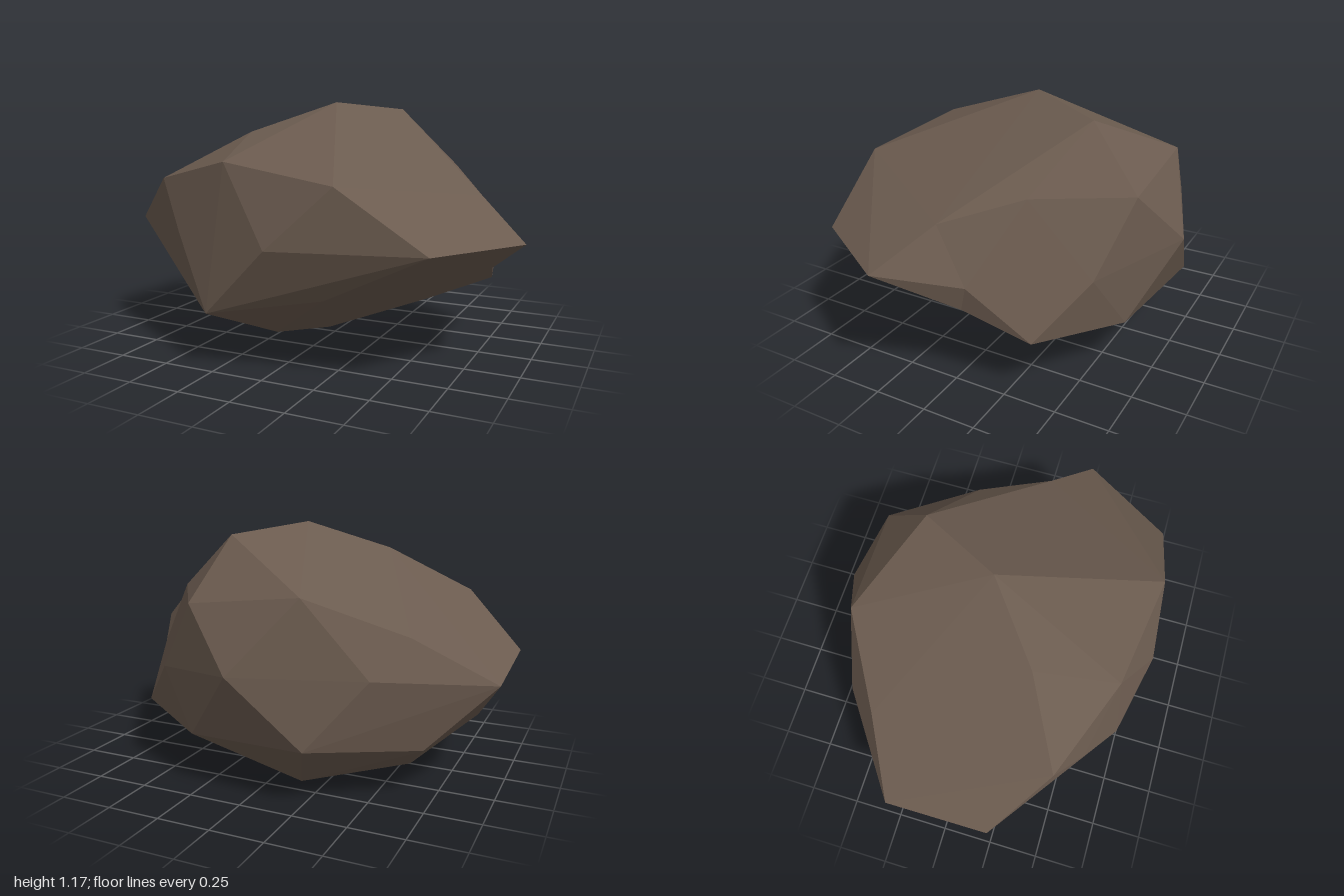
import * as THREE from 'three';
import { ConvexGeometry } from 'three/addons/geometries/ConvexGeometry.js';

// Corners shared by the boulder and its spur
const peak = [0, 1.17, -0.02];
const shared = [
  peak, [0.33, 0.85, 0.73], [0.76, 0.76, 0.06], [0.72, 0.59, 0.69],
  [0.8, 0.515, -0.1], [0.79, 0.4, -0.07], [0.24, 0.35, 0.64], [0.4, 0.15, -0.28],
];

// Remaining boulder corners, grouped from crown to base
const crown = [
  [0.21, 1.13, -0.4], [-0.33, 1.03, 0.25], [-0.24, 0.92, 0.64],
  [-0.24, 0.91, -0.64], [0.29, 0.85, -0.65], [0.55, 0.86, -0.26],
  [-0.7, 0.81, 0.46], [-0.65, 0.735, -0.42],
];
const waist = [
  [0.04, 0.575, 0.79], [-0.53, 0.575, 0.58], [-1, 0.57, 0.24],
  [-1, 0.525, -0.26], [-0.53, 0.575, -0.59], [0.04, 0.58, -0.79],
  [0.5, 0.52, -0.55],
];
const base = [
  [-0.29, 0.255, 0.73], [-0.63, 0.26, 0.37], [-0.86, 0.3, 0],
  [-0.71, 0.235, -0.39], [-0.28, 0.27, -0.71], [0.31, 0.24, -0.63],
  [0.72, 0.28, -0.37], [-0.14, 0.08, 0.35], [-0.54, 0, 0],
  [-0.14, 0, -0.41], [-0.03, 0.02, 0],
];
const spurTip = [1, 0.585, 0.24];

export function createModel() {
  const stone = new THREE.MeshStandardMaterial({ color: 0x6b5b4f });
  stone.name = 'brown stone';
  stone.flatShading = true;

  const group = new THREE.Group();
  group.name = 'rock';

  // Skins a faceted lump around a set of corners
  const addLump = (name, corners) => {
    const points = corners.map((p) => new THREE.Vector3(...p));
    const lump = new THREE.Mesh(new ConvexGeometry(points), stone);
    lump.name = name;
    group.add(lump);
  };

  addLump('boulder', [...shared, ...crown, ...waist, ...base]);
  // Pointed corner on the left, leaving a shallow hollow behind it
  addLump('spur', [...shared, spurTip]);
  return group;
}
